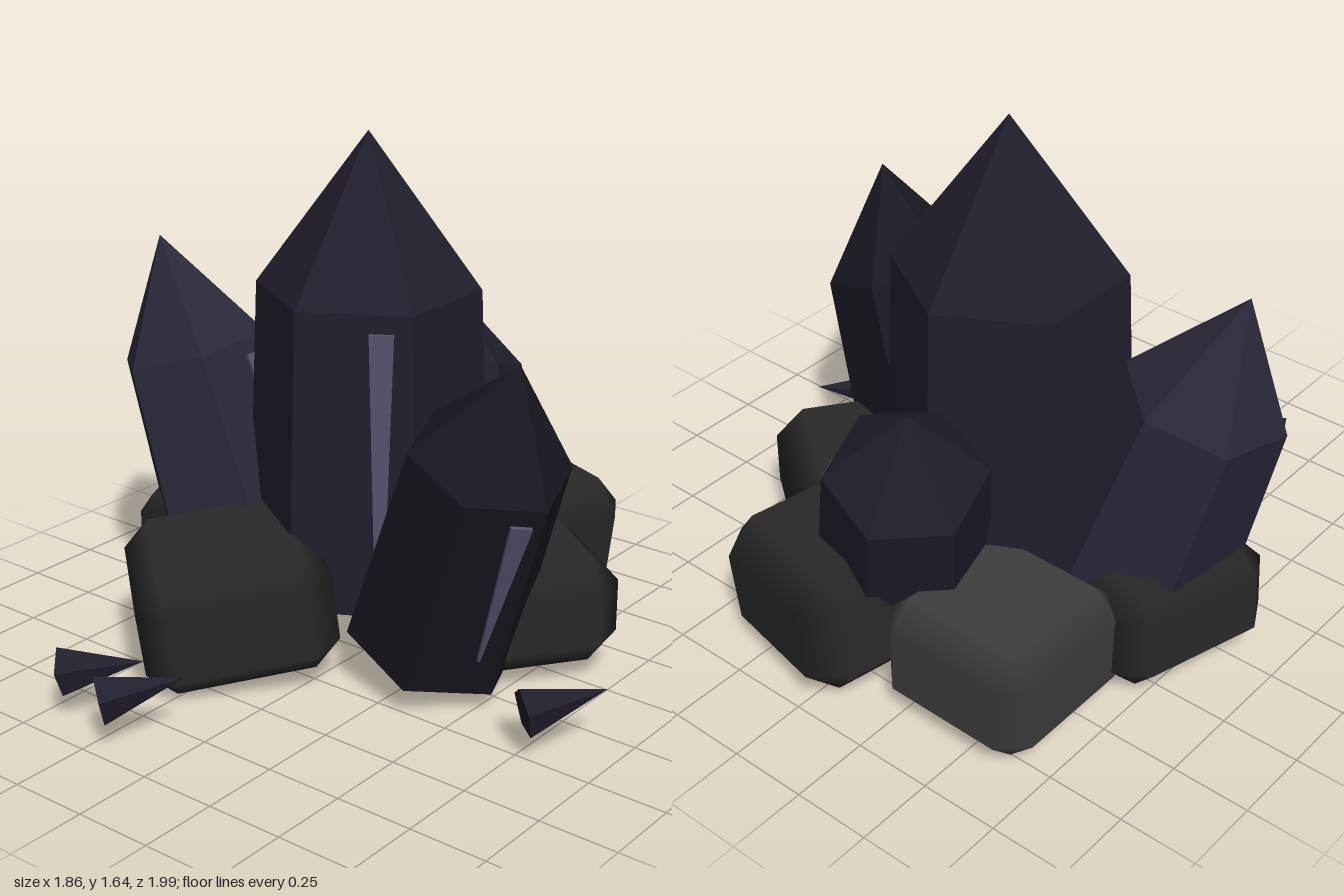
import * as THREE from 'three';
import { ConvexGeometry } from 'three/addons/geometries/ConvexGeometry.js';

const UP = new THREE.Vector3(0, 1, 0);
const flat = color => new THREE.MeshStandardMaterial({ color, flatShading: true });
const crystalMat = flat(0x211e2d);
const lightCrystalMat = flat(0x2a2739);
const darkCrystalMat = flat(0x191721);
const glintMat = flat(0x55526e);
const rockMat = new THREE.MeshStandardMaterial({ color: 0x2a2828 });
const paleRockMat = new THREE.MeshStandardMaterial({ color: 0x403c3e });

// Six-sided prism with a pointed tip, standing on base and aimed at apex
function crystal({ name, mat, base, apex, r0, r1, shoulder, yaw, face, glint }) {
  const group = new THREE.Group();
  group.name = name;
  const foot = new THREE.Vector3(...base);
  const axis = new THREE.Vector3(...apex).sub(foot);
  const height = axis.length();
  const hs = height * shoulder;

  const profile = [[0, 0], [r0, 0], [r1, hs], [0, height]].map(p => new THREE.Vector2(...p));
  const body = new THREE.Mesh(new THREE.LatheGeometry(profile, 6), mat);
  body.name = name + 'Body';

  // Pale tapered streak lying on one face
  const [low, high, wLow, wHigh] = glint;
  const shape = new THREE.Shape([
    new THREE.Vector2(-wLow / 2, low * hs), new THREE.Vector2(wLow / 2, low * hs),
    new THREE.Vector2(wHigh / 2, high * hs), new THREE.Vector2(-wHigh / 2, high * hs),
  ]);
  const streak = new THREE.Mesh(
    new THREE.ExtrudeGeometry(shape, { depth: 0.02, bevelEnabled: false }), glintMat);
  streak.name = name + 'Glint';
  const apothem = Math.cos(Math.PI / 6);
  streak.position.set(r1 * 0.24, 0, r0 * apothem - 0.008);
  streak.rotation.x = -Math.atan2((r0 - r1) * apothem, hs);
  const facing = new THREE.Group();
  facing.rotation.y = face;
  facing.add(streak);

  const turned = new THREE.Group();
  turned.rotation.y = yaw;
  turned.add(body, facing);
  group.add(turned);
  group.position.copy(foot);
  group.quaternion.setFromUnitVectors(UP, axis.normalize());
  return group;
}

// Boulder: chamfered box with flat faces and softly shaded chamfers
function rock(name, size, cut, pos, rot, mat = rockMat) {
  const half = size.map(s => s / 2);
  const points = [];
  for (let axis = 0; axis < 3; axis++) {
    for (let corner = 0; corner < 8; corner++) {
      points.push(new THREE.Vector3(...half.map((h, i) =>
        (corner >> i & 1 ? 1 : -1) * (i === axis ? h : h - cut))));
    }
  }
  const geo = new ConvexGeometry(points);
  const p = geo.attributes.position, n = geo.attributes.normal;
  for (let v = 0; v < p.count; v++) {
    const normal = half.map((h, i) => {
      const c = p.getComponent(v, i);
      return Math.abs(c) > h - cut / 2 ? Math.sign(c) : 0;
    });
    n.setXYZ(v, ...normal);
  }
  const mesh = new THREE.Mesh(geo, mat);
  mesh.name = name;
  mesh.position.set(...pos);
  mesh.rotation.set(...rot, 'XZY');
  return mesh;
}

// Small five-sided splinter lying on the ground
function shard(name, base, tip) {
  const target = new THREE.Vector3(...tip);
  const length = target.distanceTo(new THREE.Vector3(...base));
  const geo = new THREE.ConeGeometry(0.077, length, 5, 1, false, Math.PI)
    .translate(0, length / 2, 0).rotateX(Math.PI / 2);
  const mesh = new THREE.Mesh(geo, crystalMat);
  mesh.name = name;
  mesh.position.set(...base);
  mesh.lookAt(target);
  return mesh;
}

export function createModel() {
  const model = new THREE.Group();
  model.name = 'crystalCluster';
  const F = Math.PI / 6, S = Math.PI / 2;

  // Crystals
  model.add(
    crystal({ name: 'centreCrystal', mat: crystalMat, base: [-0.1, 0.2, -0.145], apex: [-0.1, 1.645, -0.145],
      r0: 0.392, r1: 0.352, shoulder: 0.665, yaw: 0, face: F, glint: [0.13, 0.94, 0.03, 0.075] }),
    crystal({ name: 'rightHandCrystal', mat: darkCrystalMat, base: [0.29, 0.15, 0.025], apex: [0.65, 1.13, 0.125],
      r0: 0.275, r1: 0.25, shoulder: 0.675, yaw: 0.33, face: F, glint: [0.2, 0.92, 0.008, 0.065] }),
    crystal({ name: 'leftHandCrystal', mat: lightCrystalMat, base: [-0.505, 0.2, -0.06], apex: [-0.81, 1.24, 0.035],
      r0: 0.305, r1: 0.252, shoulder: 0.655, yaw: -0.17, face: S, glint: [0.2, 0.93, 0.02, 0.06] }),
    crystal({ name: 'backCrystal', mat: crystalMat, base: [0.01, 0.15, -0.515], apex: [-0.235, 1.01, -0.74],
      r0: 0.268, r1: 0.24, shoulder: 0.685, yaw: 0.27, face: S, glint: [0.3, 0.94, 0.02, 0.06] }),
  );

  // Boulders around the foot
  model.add(
    rock('frontRock', [0.6, 0.385, 0.6], 0.085, [-0.28, 0.24, 0.32], [0.14, 0.85, 0.03]),
    rock('leftHandRock', [0.57, 0.355, 0.56], 0.09, [-0.585, 0.205, -0.08], [0, -0.29, -0.04]),
    rock('backLeftRock', [0.54, 0.37, 0.54], 0.08, [-0.43, 0.205, -0.575], [0, 0, 0.02], paleRockMat),
    rock('backRock', [0.585, 0.425, 0.55], 0.1, [0.1, 0.24, -0.68], [-0.04, -0.25, -0.1]),
    rock('rightHandRock', [0.53, 0.35, 0.475], 0.09, [0.42, 0.23, -0.28], [0, -0.63, 0]),
  );

  // Loose splinters
  model.add(
    shard('rightShard', [0.77, 0.145, 0.245], [0.93, 0.19, 0.05]),
    shard('frontShard', [-0.23, 0.145, 0.945], [-0.07, 0.19, 0.755]),
    shard('frontLeftShard', [-0.445, 0.145, 0.885], [-0.235, 0.19, 0.755]),
  );
  return model;
}
